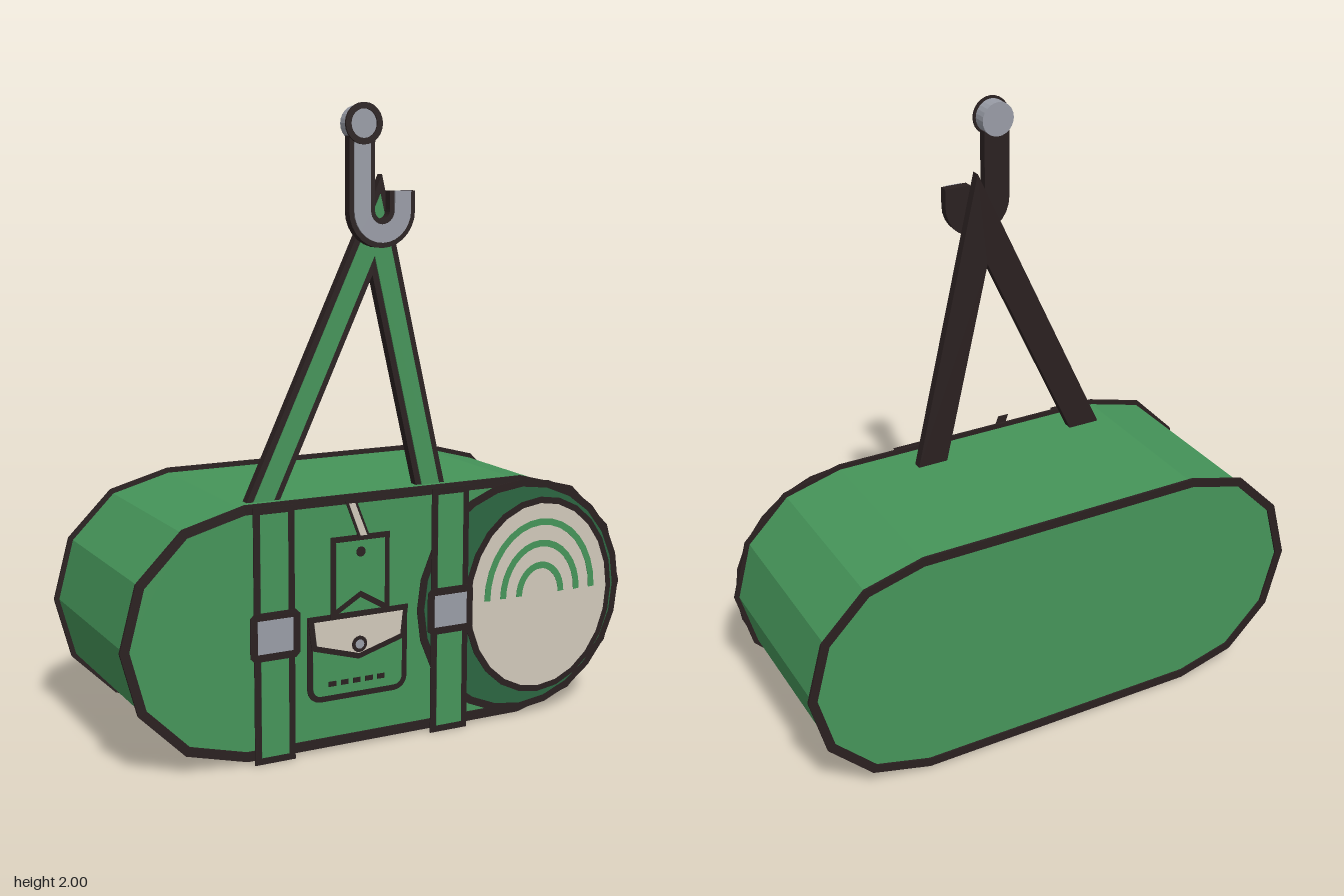
import * as THREE from 'three';

const mat = (name, color, side = THREE.FrontSide) => {
  const m = new THREE.MeshStandardMaterial({ color, side });
  m.name = name;
  return m;
};

// Shift a polyline or polygon sideways with mitred corners (inward for a counter-clockwise polygon)
function offset(pts, d, closed) {
  const n = pts.length;
  const normal = (a, b) => {
    const dx = b[0] - a[0], dy = b[1] - a[1], l = Math.hypot(dx, dy);
    return [-dy / l, dx / l];
  };
  return pts.map((p, i) => {
    const hasPrev = closed || i > 0, hasNext = closed || i < n - 1;
    const a = hasPrev ? normal(pts[(i + n - 1) % n], p) : normal(p, pts[i + 1]);
    const b = hasNext ? normal(p, pts[(i + 1) % n]) : a;
    const k = d / (1 + a[0] * b[0] + a[1] * b[1]);
    return [p[0] + (a[0] + b[0]) * k, p[1] + (a[1] + b[1]) * k];
  });
}
const ribbon = (path, half) => [...offset(path, half), ...offset(path, -half).reverse()];

// Points along an elliptical arc, angles in degrees
function arc(cx, cy, rx, ry, from, to, steps) {
  return Array.from({ length: steps + 1 }, (_, i) => {
    const a = THREE.MathUtils.degToRad(from + (to - from) * i / steps);
    return [cx + rx * Math.cos(a), cy + ry * Math.sin(a)];
  });
}
const ellipse = (cx, cy, rx, ry, n = 24) => arc(cx, cy, rx, ry, 0, 360, n).slice(0, n);
const rect = (x0, y0, x1, y1) => [[x0, y0], [x1, y0], [x1, y1], [x0, y1]];
const toV2 = (pts) => pts.map(([x, y]) => new THREE.Vector2(x, y));

export function createModel() {
  const model = new THREE.Group();
  model.name = 'duffelBagOnHook';
  const green = mat('canvas green', 0x459459);
  const darkGreen = mat('shaded green', 0x2b6540);
  const cream = mat('cream', 0xd0c8ba);
  const steel = mat('steel grey', 0x999ca6);
  const dark = mat('dark trim', 0x2a2020);

  // Flat slab from an outline, between two depths
  function slab(parent, name, pts, material, z0, z1, hole) {
    const shape = new THREE.Shape(toV2(pts));
    if (hole) shape.holes.push(new THREE.Path(toV2(hole)));
    const geo = new THREE.ExtrudeGeometry(shape, { depth: z1 - z0, bevelEnabled: false });
    const mesh = new THREE.Mesh(geo, material);
    mesh.name = name;
    mesh.position.z = z0;
    parent.add(mesh);
    return mesh;
  }
  // Thin panel: dark backing with an inset coloured face
  function panel(name, pts, material, z, border) {
    const g = new THREE.Group();
    g.name = name;
    slab(g, name + 'Trim', pts, dark, z, z + 0.003);
    slab(g, name + 'Face', offset(pts, border, true), material, z + 0.003, z + 0.005);
    model.add(g);
    return g;
  }

  // Body with rounded ends and dark piping round both faces
  const stadium = (r) => [
    ...arc(0.49, 0.41, r, r, -90, 90, 6),
    ...arc(-0.49, 0.41, r, r, 90, 270, 6),
  ];
  slab(model, 'bagBody', stadium(0.386), green, -0.35, 0.288);
  slab(model, 'frontPiping', stadium(0.402), dark, 0.286, 0.295, stadium(0.372));
  slab(model, 'backPiping', stadium(0.402), dark, -0.356, -0.347, stadium(0.372));

  // Round end pocket with cream badge and arches
  panel('endCap', ellipse(0.49, 0.41, 0.392, 0.392), darkGreen, 0.301, 0.025);
  panel('badge', ellipse(0.56, 0.405, 0.288, 0.332), cream, 0.306, 0.021);
  for (const r of [0.205, 0.144, 0.082]) {
    slab(model, 'badgeArch', ribbon(arc(0.56, 0.41, r, r * 1.19, 0, 180, 16), 0.011), green, 0.311, 0.313);
  }

  // Vertical straps and buckles
  for (const x of [-0.406, 0.21]) {
    panel('bagStrap', rect(x - 0.068, 0, x + 0.068, 0.806), green, 0.314, 0.022);
    const w = 0.083, h = 0.076, c = 0.014;
    const buckle = [[-w, -h + c], [-w + c, -h], [w - c, -h], [w, -h + c],
      [w, h - c], [w - c, h], [-w + c, h], [-w, h - c]].map(([a, b]) => [x + a, 0.405 + b]);
    panel('buckle', buckle, steel, 0.320, 0.024);
  }

  // Front pocket with flap, button and stitches
  const pocket = [
    [-0.303, 0.447],
    ...arc(-0.258, 0.217, 0.045, 0.045, 180, 270, 4),
    ...arc(0.001, 0.217, 0.045, 0.045, 270, 360, 4),
    [0.046, 0.447],
  ];
  panel('pocket', pocket, green, 0.327, 0.019);
  panel('pocketFlap', [[-0.303, 0.45], [-0.29, 0.343], [-0.128, 0.296], [0.034, 0.343], [0.047, 0.45]], cream, 0.333, 0.018);
  panel('button', ellipse(-0.128, 0.345, 0.026, 0.026, 16), steel, 0.339, 0.011);
  for (let i = 0; i < 5; i++) {
    const x = -0.235 + i * 0.0425;
    slab(model, 'stitch', rect(x, 0.222, x + 0.026, 0.238), dark, 0.339, 0.341);
  }

  // Hanging tag with a notched end, eyelet and cord
  panel('tag', [[-0.23, 0.695], [-0.23, 0.437], [-0.128, 0.497], [-0.026, 0.437], [-0.026, 0.695]], green, 0.343, 0.018);
  slab(model, 'tagEyelet', ellipse(-0.128, 0.642, 0.016, 0.016, 12), dark, 0.348, 0.350);
  panel('tagCord', [[-0.182, 0.805], [-0.136, 0.685], [-0.096, 0.685], [-0.144, 0.805]], cream, 0.347, 0.008);

  // Inverted V carrying strap with a coloured front
  const vPath = [[-0.4, 0.77], [0.005, 1.63], [0.207, 0.77]];
  slab(model, 'carryStrapBack', ribbon(vPath, 0.051), dark, 0.17, 0.2);
  slab(model, 'carryStrapFace', ribbon(vPath, 0.031), green, 0.2, 0.204);

  // Hook and its round mounting pin
  const hookPath = [[-0.07, 1.9], ...arc(0, 1.675, 0.07, 0.07, 180, 360, 14), [0.07, 1.735]];
  slab(model, 'hookBack', ribbon(hookPath, 0.044), dark, 0.213, 0.243);
  slab(model, 'hookFace', ribbon(hookPath, 0.028), steel, 0.243, 0.247);
  slab(model, 'hookPin', ellipse(-0.07, 1.937, 0.055, 0.055), steel, 0.203, 0.252);
  slab(model, 'hookPinRim', ellipse(-0.07, 1.937, 0.063, 0.063), dark, 0.25, 0.257, ellipse(-0.07, 1.937, 0.044, 0.044));

  return model;
}
